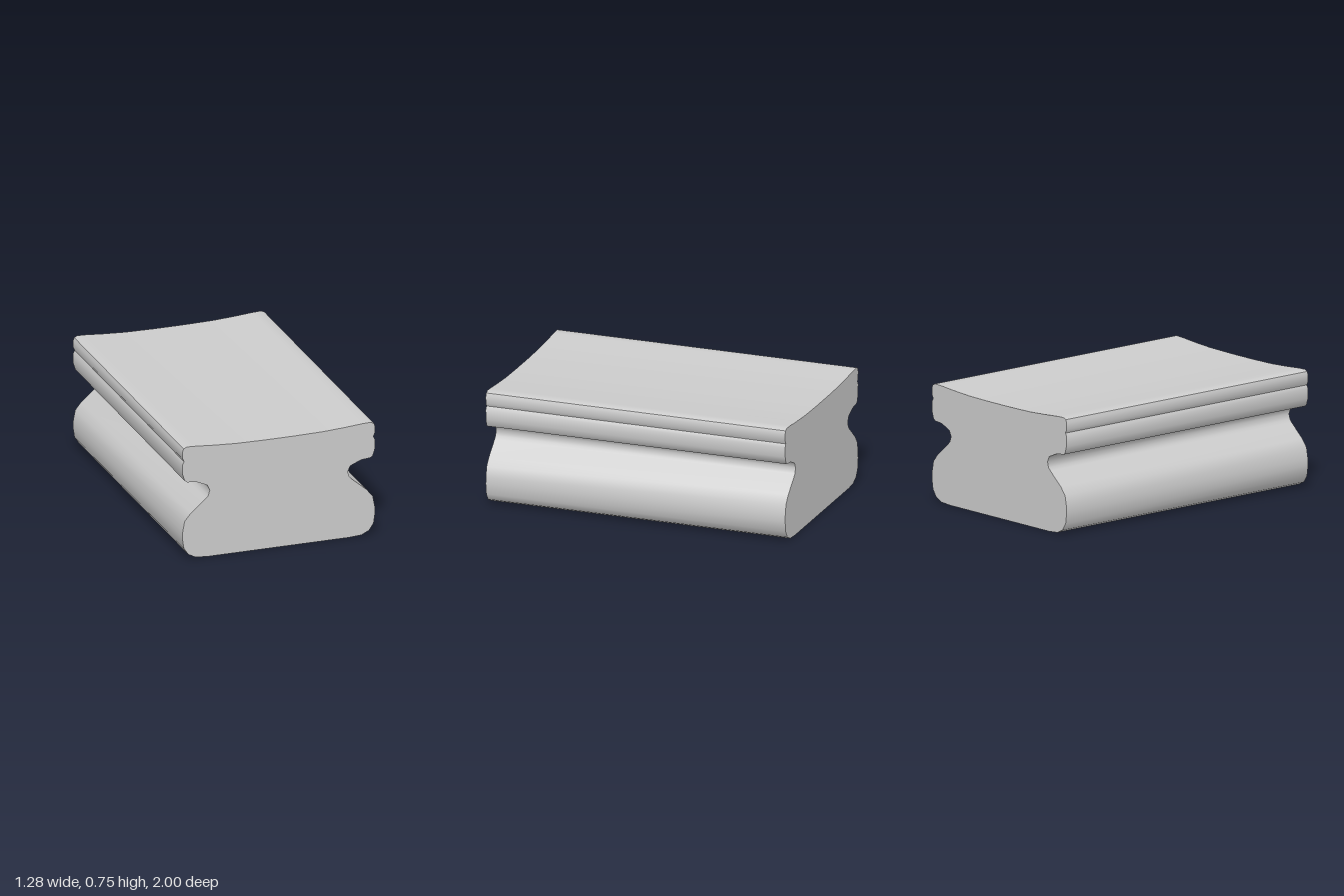
import * as THREE from 'three';
import { toCreasedNormals } from 'three/addons/utils/BufferGeometryUtils.js';

// Half of the cross-section, from the base up to the dished top
const HALF_PROFILE = [
  // rounded base and flared foot
  [0.47, 0], [0.55, 0.006], [0.6, 0.03], [0.63, 0.075], [0.64, 0.145], [0.638, 0.185],
  [0.625, 0.255], [0.585, 0.305],
  // side groove
  [0.485, 0.39], [0.468, 0.408], [0.458, 0.443], [0.475, 0.48], [0.545, 0.51],
  // upper lip with its fine notch
  [0.61, 0.517], [0.625, 0.529], [0.638, 0.572], [0.64, 0.635], [0.628, 0.657],
  [0.639, 0.68], [0.64, 0.722], [0.632, 0.744], [0.61, 0.754],
  // shallow dish
  [0.555, 0.752], [0.43, 0.742], [0.29, 0.734], [0.1, 0.731],
];

export function createModel() {
  const group = new THREE.Group();
  group.name = 'profiledRail';

  // Mirror the half profile into a closed outline
  const right = HALF_PROFILE.map(([x, y]) => new THREE.Vector2(x, y));
  const left = HALF_PROFILE.map(([x, y]) => new THREE.Vector2(-x, y)).reverse();
  const outline = new THREE.Shape([...right, ...left]);

  // Straight extrusion along z, centred, smooth except at the ends and the notch
  const extruded = new THREE.ExtrudeGeometry(outline, { depth: 2, bevelEnabled: false });
  extruded.translate(0, 0, -1);
  const geometry = toCreasedNormals(extruded, THREE.MathUtils.degToRad(44));

  const rail = new THREE.Mesh(geometry, new THREE.MeshStandardMaterial({ color: 0xcccccc }));
  rail.name = 'railBody';
  group.add(rail);
  return group;
}
